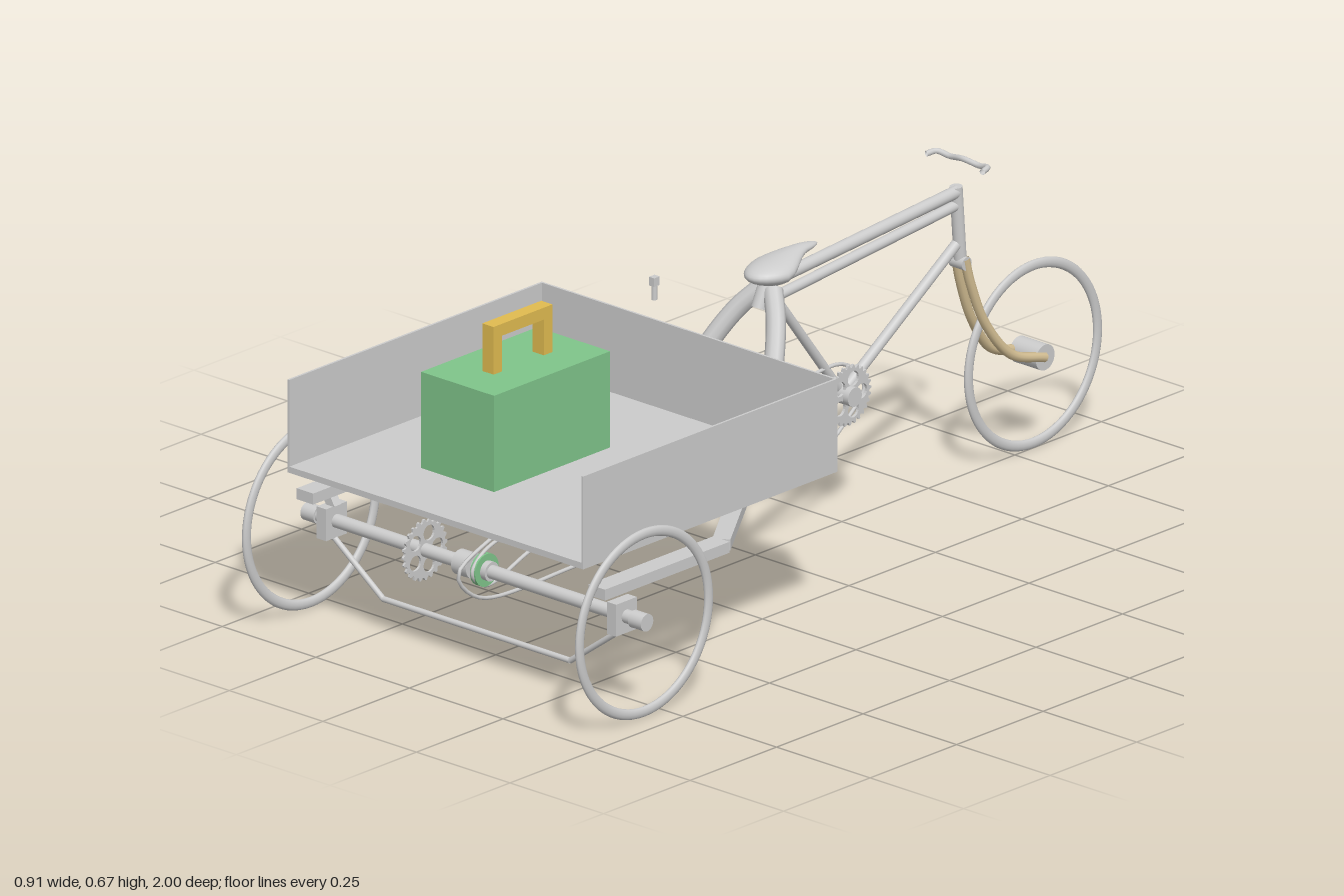
import * as THREE from 'three';

const mat = (color) => new THREE.MeshStandardMaterial({ color, side: THREE.DoubleSide });
const GREY = mat(0xcccccc), GOLD = mat(0xe0bb50), GREEN = mat(0x7fc48a), PURPLE = mat(0x6a5acd), TAN = mat(0xd2bd92);
const V = (x, y, z) => new THREE.Vector3(x, y, z);

export function createModel() {
  const model = new THREE.Group();
  const add = (name, geo, material = GREY, pos = null) => {
    const m = new THREE.Mesh(geo, material);
    m.name = name;
    if (pos) m.position.copy(pos);
    model.add(m);
    return m;
  };
  // box given by its min and max along each axis
  const box = (name, x0, x1, y0, y1, z0, z1, material) =>
    add(name, new THREE.BoxGeometry(x1 - x0, y1 - y0, z1 - z0), material,
      V((x0 + x1) / 2, (y0 + y1) / 2, (z0 + z1) / 2));
  // straight round tube between two points
  const rod = (name, a, b, r, material, r2 = r, sides = 20) => {
    const m = add(name, new THREE.CylinderGeometry(r2, r, a.distanceTo(b), sides), material, a.clone().lerp(b, 0.5));
    m.quaternion.setFromUnitVectors(V(0, 1, 0), b.clone().sub(a).normalize());
    return m;
  };
  // disc or drum across x
  const drum = (name, x0, x1, y, z, r, material, r2 = r) => rod(name, V(x0, y, z), V(x1, y, z), r, material, r2, 32);
  // flat rectangular bar between two points
  const beam = (name, a, b, w, h) => {
    const m = add(name, new THREE.BoxGeometry(w, h, a.distanceTo(b)), GREY, a.clone().lerp(b, 0.5));
    m.lookAt(b);
    return m;
  };
  const tube = (name, pts, r, material, closed = false, n = 48) =>
    add(name, new THREE.TubeGeometry(new THREE.CatmullRomCurve3(pts, closed), n, r, 10, closed), material);

  // toothed sprocket across x with round windows
  const sprocket = (name, x, y, z, r, t, teeth, material) => {
    const s = new THREE.Shape(), n = teeth * 4;
    for (let i = 0; i < n; i++) {
      const a = (i / n) * Math.PI * 2, q = i % 4 < 2 ? r : r * 0.9;
      s[i ? 'lineTo' : 'moveTo'](Math.cos(a) * q, Math.sin(a) * q);
    }
    for (let i = 0; i < 5; i++) {
      const a = (i / 5) * Math.PI * 2, h = new THREE.Path();
      h.absarc(Math.cos(a) * r * 0.55, Math.sin(a) * r * 0.55, r * 0.25, 0, Math.PI * 2, true);
      s.holes.push(h);
    }
    const g = new THREE.ExtrudeGeometry(s, { depth: t, bevelEnabled: false, curveSegments: 10 });
    g.translate(0, 0, -t / 2).rotateY(Math.PI / 2);
    add(name, g, material, V(x, y, z));
  };

  // wheels: plain hoops, slightly deeper than wide
  const wheel = (name, x, z) => {
    const g = new THREE.TorusGeometry(0.1865, 0.011, 12, 72);
    g.scale(1, 1, 0.6).rotateY(Math.PI / 2);
    add(name, g, GREY, V(x, 0.1975, z));
  };
  wheel('leftCartWheel', 0.445, 0.803);
  wheel('rightCartWheel', -0.445, 0.803);
  wheel('steeredWheel', 0, -0.8025);

  // cargo bed, open at the +z end
  box('bedFloor', -0.395, 0.395, 0.33, 0.343, 0.19, 0.925);
  box('bedEndWall', -0.395, 0.395, 0.343, 0.525, 0.19, 0.195);
  for (const s of [-1, 1]) box('bedSideWall', s * 0.3925 - 0.0025, s * 0.3925 + 0.0025, 0.343, 0.525, 0.195, 0.925);

  // cargo box with handle
  box('cargoBox', -0.195, 0, 0.343, 0.545, 0.42, 0.755, GREEN);
  for (const z of [0.5, 0.645]) box('handlePost', -0.11, -0.08, 0.545, 0.62, z, z + 0.025, GOLD);
  box('handleGrip', -0.11, -0.08, 0.62, 0.645, 0.5, 0.67, GOLD);

  // axle, bearings, lower rails and arched stays
  drum('axle', -0.445, 0.445, 0.2, 0.805, 0.014);
  for (const s of [-1, 1]) {
    box('axleBearing', s * 0.3875 - 0.0125, s * 0.3875 + 0.0125, 0.165, 0.232, 0.775, 0.835);
    drum('wheelHub', s * 0.42, s * 0.455, 0.2, 0.805, 0.018);
    const rail = [V(s * 0.39, 0.268, 0.88), V(s * 0.39, 0.268, 0.52), V(s * 0.112, 0.268, 0.125), V(s * 0.008, 0.268, -0.22)];
    beam('sideRail', rail[0], rail[1], 0.044, 0.023);
    beam('diagonalRail', rail[1], rail[2], 0.036, 0.023);
    rod('chainStay', rail[2], rail[3], 0.011);
    tube('archedStay', [V(s * 0.015, 0.55, -0.035), V(s * 0.055, 0.5, 0), V(s * 0.098, 0.4, 0.06), V(s * 0.115, 0.268, 0.125)], 0.02, GREY);
  }
  beam('railStrut', V(-0.4, 0.262, 0.805), V(-0.38, 0.228, 0.805), 0.02, 0.02);

  // truss bar hanging below the axle
  const truss = [V(-0.39, 0.17, 0.805), V(-0.25, 0.068, 0.805), V(0.25, 0.068, 0.805), V(0.39, 0.17, 0.805)];
  for (let i = 0; i < 3; i++) rod('trussBar', truss[i], truss[i + 1], 0.006);

  // axle drive parts
  sprocket('axleSprocket', -0.14, 0.2, 0.805, 0.064, 0.005, 24);
  drum('axleDrum', -0.045, -0.005, 0.2, 0.805, 0.026);
  drum('freewheelCore', 0.005, 0.04, 0.2, 0.805, 0.02);
  drum('freewheel', 0.013, 0.027, 0.2, 0.805, 0.034, GREEN);

  // motor slung under the bed
  const my = 0.27, mz = 0.55;
  drum('motorShaft', -0.142, 0.1, my, mz, 0.006);
  drum('motorEndDisc', 0.036, 0.048, my, mz, 0.057, GOLD);
  drum('motorNeck', 0, 0.036, my, mz, 0.03, GOLD);
  for (const x of [-0.036, -0.008]) drum('motorFlange', x, x + 0.009, my, mz, 0.06, GOLD);
  drum('motorCore', -0.03, -0.005, my, mz, 0.045, GOLD);
  for (let i = 0; i < 10; i++) {
    const a = (i / 10) * Math.PI * 2, y = my + Math.sin(a) * 0.048, z = mz + Math.cos(a) * 0.048;
    drum('motorRib', -0.03, -0.005, y, z, 0.009, GOLD);
  }
  drum('motorCone', -0.072, -0.036, my, mz, 0.026, GOLD, 0.04);
  box('motorHanger', -0.05, -0.035, 0.27, 0.33, 0.53, 0.57, GOLD);
  box('motorMount', -0.125, -0.035, 0.311, 0.33, 0.51, 0.6, GOLD);
  const coil = [];
  for (let i = 0; i <= 48; i++) {
    const a = (i / 48) * Math.PI * 8;
    coil.push(V(-0.134 + 0.064 * i / 48, my + Math.sin(a) * 0.016, mz + Math.cos(a) * 0.016));
  }
  tube('spring', coil, 0.004, PURPLE, false, 160);
  drum('springPlate', -0.142, -0.137, my, mz, 0.03);

  // chains in the plane of x
  const chain = (name, x, yz) => tube(name, yz.map(([y, z]) => V(x, y, z)), 0.004, GREY, true, 120);
  chain('longChain', 0.005, [[0.137, 0.805], [0.125, 0.5], [0.12, 0.15], [0.13, -0.05], [0.155, -0.17], [0.21, -0.255],
    [0.27, -0.31], [0.332, -0.25], [0.328, -0.1], [0.31, 0.25], [0.295, 0.55], [0.25, 0.77], [0.2, 0.865]]);
  chain('motorChain', 0.02, [[0.165, 0.8], [0.2, 0.68], [0.236, 0.56], [0.27, 0.515], [0.304, 0.56], [0.27, 0.68], [0.235, 0.81], [0.2, 0.84]]);

  // bicycle frame
  const crank = V(0, 0.27, -0.25), head = V(0, 0.605, -0.58);
  drum('crankShell', -0.035, 0.035, 0.27, -0.25, 0.02);
  sprocket('chainRing', 0.018, 0.27, -0.25, 0.063, 0.006, 28);
  rod('downTube', crank, V(0, 0.49, -0.58), 0.011);
  rod('seatTube', crank, V(0, 0.52, -0.06), 0.01);
  rod('topTube', V(0, 0.56, -0.03), V(0, 0.6, -0.58), 0.013);
  rod('secondTopTube', V(0, 0.526, -0.06), V(0, 0.572, -0.58), 0.011);
  rod('saddlePost', V(0, 0.515, -0.01), V(0, 0.58, -0.04), 0.016);
  rod('headTube', V(0, 0.455, -0.592), V(0, 0.612, -0.58), 0.013);

  // saddle: an ellipsoid narrowed and raised toward the nose
  const sg = new THREE.SphereGeometry(1, 32, 20), p = sg.attributes.position;
  for (let i = 0; i < p.count; i++) {
    const nose = THREE.MathUtils.smoothstep(-p.getZ(i), -0.45, 0.6);
    const y = p.getY(i), w = 0.055 - 0.036 * nose;
    p.setXYZ(i, p.getX(i) * w, 0.583 + 0.024 * nose + y * (0.027 - 0.015 * nose), -0.08 + p.getZ(i) * 0.097);
  }
  sg.computeVertexNormals();
  add('saddle', sg);

  // fork with curved blades and hub
  drum('forkCrown', -0.018, 0.018, 0.45, -0.592, 0.014);
  for (const s of [-1, 1])
    tube('forkBlade', [V(s * 0.012, 0.46, -0.592), V(s * 0.014, 0.4, -0.608), V(s * 0.018, 0.31, -0.645),
      V(s * 0.027, 0.23, -0.71), V(s * 0.034, 0.2, -0.8)], 0.01, TAN);
  drum('steeredHub', -0.035, 0.035, 0.2, -0.8, 0.027);

  // handlebar and the separate stem pin
  tube('handlebar', [V(-0.075, 0.662, -0.575), V(-0.068, 0.664, -0.597), V(-0.04, 0.658, -0.605), V(0, 0.664, -0.6),
    V(0.04, 0.658, -0.605), V(0.068, 0.664, -0.597), V(0.075, 0.662, -0.575)], 0.006, GREY);
  rod('stemPin', V(0, 0.618, 0.292), V(0, 0.665, 0.292), 0.006);
  box('stemClamp', -0.007, 0.007, 0.648, 0.666, 0.284, 0.3);
  return model;
}
